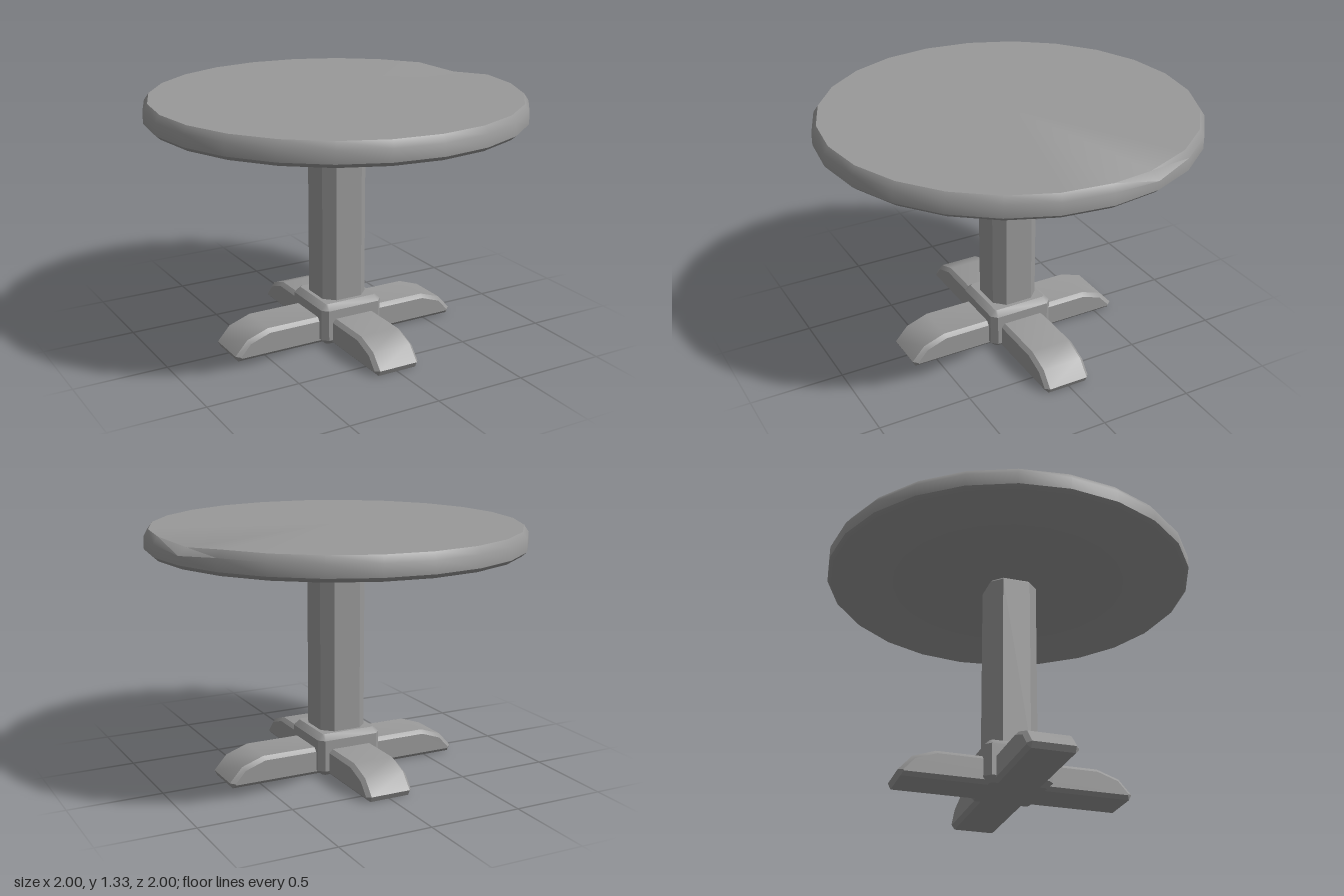
import * as THREE from 'three';
import { toCreasedNormals } from 'three/addons/utils/BufferGeometryUtils.js';

const grey = new THREE.MeshStandardMaterial({ color: 0x999999 });
grey.name = 'grey';

function part(name, geometry, crease = 0.6) {
  const mesh = new THREE.Mesh(toCreasedNormals(geometry, crease), grey);
  mesh.name = name;
  return mesh;
}

// Extrusion of the given depth whose chamfered ends stay inside the outline
function chamferedExtrude(points, depth, bevel) {
  const shape = new THREE.Shape(points.map(([x, y]) => new THREE.Vector2(x, y)));
  const geometry = new THREE.ExtrudeGeometry(shape, {
    depth: depth - 2 * bevel, bevelEnabled: true, bevelSegments: 1,
    bevelSize: bevel, bevelThickness: bevel, bevelOffset: -bevel,
  });
  return geometry.translate(0, 0, bevel);
}

// Upright square post with cut corners, from y0 to y1
function post(name, half, cut, y0, y1, bevel) {
  const c = half - cut;
  const outline = [[half, -c], [half, c], [c, half], [-c, half],
    [-half, c], [-half, -c], [-c, -half], [c, -half]];
  const geometry = chamferedExtrude(outline, y1 - y0, bevel);
  geometry.rotateX(-Math.PI / 2).translate(0, y0, 0);
  return part(name, geometry);
}

// Foot bar spanning both sides, with sloping ends
function footBar(name, half) {
  const right = [[half - 0.015, 0], [half, 0.03], [half - 0.07, 0.108], [half - 0.19, 0.15]];
  const left = right.map(([x, y]) => [-x, y]).reverse();
  const geometry = chamferedExtrude([...right, ...left], 0.26, 0.02);
  return part(name, geometry.translate(0, 0, -0.13));
}

// Round top with softened edges and one worn spot on the rim
function tableTop() {
  const profile = [[0, 1.203], [0.975, 1.203], [1, 1.225], [1, 1.29], [0.975, 1.326], [0, 1.326]];
  const geometry = new THREE.LatheGeometry(profile.map(([r, y]) => new THREE.Vector2(r, y)), 24);
  const pos = geometry.attributes.position;
  for (let i = 0; i < pos.count; i++) {
    const x = pos.getX(i), y = pos.getY(i), z = pos.getZ(i);
    const worn = x > 0.9 && z < -0.2 && z > -0.3;
    if (worn && y > 1.25) {
      const pull = y > 1.3 ? 0.975 : 1;
      pos.setXYZ(i, x * pull, y - 0.02, z * pull);
    }
  }
  return part('tableTop', geometry, 0.8);
}

export function createModel() {
  const table = new THREE.Group();
  table.name = 'table';

  const column = post('column', 0.131, 0.055, 0.2, 1.21, 0.02);
  const hub = post('hub', 0.182, 0.03, 0, 0.23, 0.03);
  column.position.z = 0.007;
  hub.position.z = 0.01;

  const sideFeet = footBar('sideFeet', 0.67);
  const frontBackFeet = footBar('frontBackFeet', 0.623);
  frontBackFeet.rotation.y = Math.PI / 2;
  sideFeet.position.z = 0.01;
  frontBackFeet.position.z = 0.018;

  table.add(tableTop(), column, hub, sideFeet, frontBackFeet);
  return table;
}
